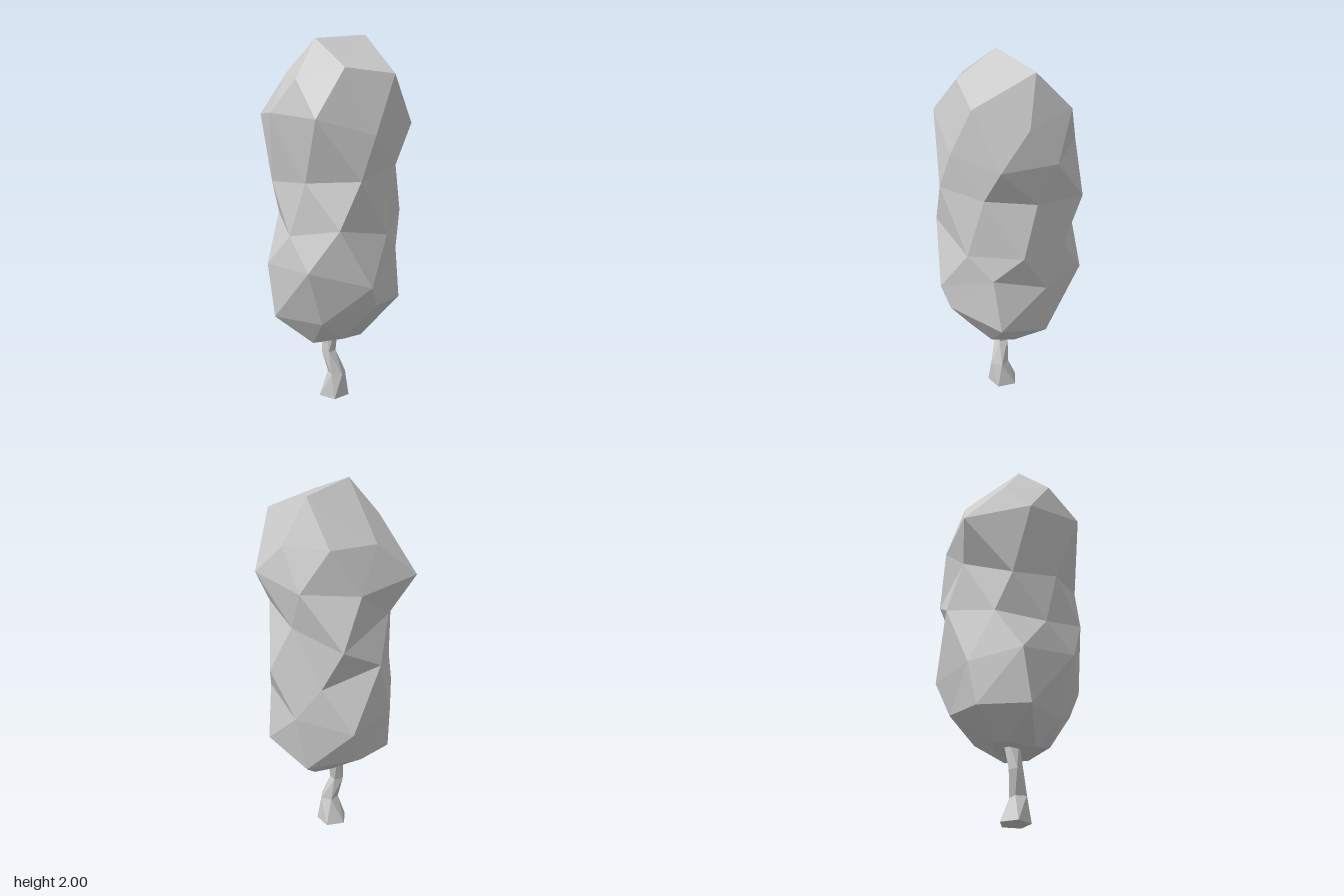
import * as THREE from 'three';

const polar = (deg, r, y, cx = 0, cz = 0) => {
  const a = THREE.MathUtils.degToRad(deg);
  return new THREE.Vector3(cx + r * Math.cos(a), y, cz + r * Math.sin(a));
};

// Skins a stack of rings (bottom to top) with triangles and closes both ends.
// Every second ring is turned by about half a step.
function loft(rings) {
  const pos = [];
  const tri = (a, b, c) => {
    const area = b.clone().sub(a).cross(c.clone().sub(a)).length();
    if (area > 1e-7) for (const p of [a, b, c]) pos.push(p.x, p.y, p.z);
  };
  const n = rings[0].length;
  for (let i = 0; i < rings.length - 1; i++) {
    const low = rings[i], up = rings[i + 1];
    for (let j = 0; j < n; j++) {
      const k = (j + 1) % n;
      if (i % 2 === 1) {
        tri(low[j], up[j], up[k]);
        tri(low[j], up[k], low[k]);
      } else {
        tri(low[j], up[j], low[k]);
        tri(low[k], up[j], up[k]);
      }
    }
  }
  const middle = (ring) => ring.reduce((s, p) => s.add(p), new THREE.Vector3()).divideScalar(n);
  const first = rings[0], last = rings[rings.length - 1];
  const bottom = middle(first), top = middle(last);
  for (let j = 0; j < n; j++) {
    const k = (j + 1) % n;
    tri(bottom, first[j], first[k]);
    tri(top, last[k], last[j]);
  }
  const geo = new THREE.BufferGeometry();
  geo.setAttribute('position', new THREE.Float32BufferAttribute(pos, 3));
  geo.computeVertexNormals();
  return geo;
}

export function createModel() {
  const group = new THREE.Group();
  const material = new THREE.MeshStandardMaterial({ color: 0xcccccc, flatShading: true });
  const add = (name, geo) => {
    const mesh = new THREE.Mesh(geo, material);
    mesh.name = name;
    group.add(mesh);
  };

  // Crown: seven-sided irregular rings, each with a turn in degrees, radii r and heights y
  const step = 360 / 7;
  const levels = [
    { turn: 0, r: [0.12, 0.16, 0.20, 0.18, 0.16, 0.10, 0.10], y: [0.36, 0.38, 0.41, 0.36, 0.38, 0.41, 0.40] },
    { turn: 0, r: [0.35, 0.36, 0.27, 0.35, 0.31, 0.32, 0.29], y: [0.58, 0.64, 0.52, 0.52, 0.54, 0.57, 0.49] },
    { turn: -18, r: [0.33, 0.33, 0.39, 0.37, 0.37, 0.33, 0.40], y: [0.80, 0.88, 0.76, 0.84, 0.81, 0.78, 0.77] },
    { turn: -18, r: [0.37, 0.33, 0.37, 0.315, 0.30, 0.37, 0.33], y: [1.04, 1.00, 1.08, 1.00, 1.05, 1.12, 1.00] },
    { turn: -10, r: [0.30, 0.33, 0.36, 0.30, 0.33, 0.33, 0.40], y: [1.30, 1.35, 1.33, 1.30, 1.25, 1.36, 1.24] },
    { turn: 0, r: [0.40, 0.34, 0.39, 0.36, 0.44, 0.36, 0.35], y: [1.55, 1.55, 1.66, 1.64, 1.55, 1.52, 1.52] },
    { turn: 0, r: [0.31, 0.34, 0.25, 0.30, 0.24, 0.29, 0.34], y: [1.73, 1.84, 1.89, 1.83, 1.82, 1.74, 1.76] },
  ];
  const crown = levels.map(({ turn, r, y }, i) =>
    r.map((radius, j) => polar((j + (i % 2) / 2) * step + turn, radius, y[j])));

  // The crown ends in a short ridge between two peaks
  const leftPeak = new THREE.Vector3(0.21, 1.98, -0.07);
  const rightPeak = new THREE.Vector3(-0.11, 2.0, 0.01);
  crown.push(crown[1].map((p) => (p.x > 0 ? leftPeak : rightPeak)));
  add('crown', loft(crown));

  // Trunk: thin, crooked and flared at the foot [y, centre x, centre z, radius]
  const trunk = [
    [0, -0.01, 0.015, 0.085],
    [0.14, -0.005, 0.04, 0.05],
    [0.27, -0.04, 0.01, 0.04],
    [0.42, -0.02, 0.0, 0.044],
  ].map(([y, cx, cz, r], i) =>
    Array.from({ length: 5 }, (_, j) => polar((j + (i % 2) / 2) * 72 + 40, r, y, cx, cz)));
  add('trunk', loft(trunk));

  return group;
}
